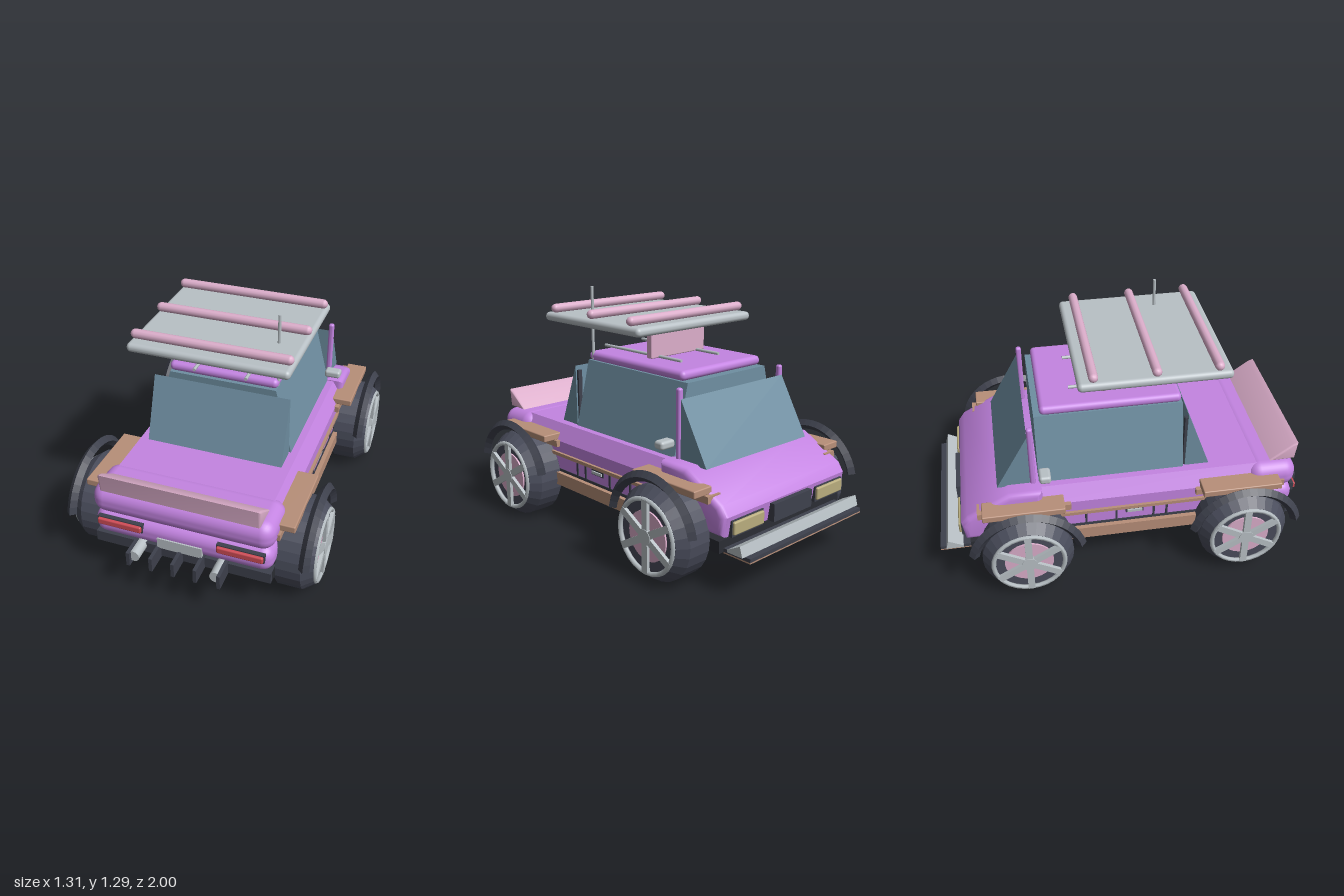
import * as THREE from 'three';
import { RoundedBoxGeometry } from 'three/addons/geometries/RoundedBoxGeometry.js';
import { toCreasedNormals } from 'three/addons/utils/BufferGeometryUtils.js';

const material = (name, color, extra = {}) => {
  const m = new THREE.MeshStandardMaterial({ color, ...extra });
  m.name = name;
  return m;
};

export function createModel() {
  const car = new THREE.Group();
  car.name = 'car';
  const purple = material('purple paint', 0xc484e2);
  const pink = material('pink trim', 0xdcaecb);
  const glass = material('blue glass', 0x6f8fa2);
  const silver = material('silver', 0xb9c1c6);
  const dark = material('dark trim', 0x3e414d, { side: THREE.DoubleSide, flatShading: true });
  const tyre = material('tyre rubber', 0x4a4d5c, { flatShading: true });
  const black = material('underside black', 0x2b2d34);
  const brown = material('brown trim', 0xb88f79);
  const red = material('tail light red', 0xd04c56);
  const tan = material('head light tan', 0xb9ad7e);

  const add = (name, geo, mat, x = 0, y = 0, z = 0, parent = car) => {
    const mesh = new THREE.Mesh(geo, mat);
    mesh.name = name;
    mesh.position.set(x, y, z);
    parent.add(mesh);
    return mesh;
  };
  // Box given by its limits, rounded when r > 0
  const box = (name, mat, [x0, x1], [y0, y1], [z0, z1], r = 0) => {
    const s = [x1 - x0, y1 - y0, z1 - z0];
    const geo = r ? new RoundedBoxGeometry(...s, 4, r) : new THREE.BoxGeometry(...s);
    return add(name, geo, mat, (x0 + x1) / 2, (y0 + y1) / 2, (z0 + z1) / 2);
  };
  // Side profile of [z, y] points, extruded across x with an optional bevel
  const across = (name, mat, pts, half, bevel = 0) => {
    const shape = new THREE.Shape(pts.map(([z, y]) => new THREE.Vector2(-z, y)));
    const geo = new THREE.ExtrudeGeometry(shape, {
      depth: 2 * (half - bevel), bevelEnabled: bevel > 0, bevelSize: bevel,
      bevelThickness: bevel, bevelOffset: -bevel, bevelSegments: 4,
    });
    geo.translate(0, 0, -(half - bevel)).rotateY(Math.PI / 2);
    return add(name, toCreasedNormals(geo, 0.7), mat);
  };
  // Front cross-section of [x, y] points, extruded along z
  const along = (name, mat, pts, z0, z1) => {
    const shape = new THREE.Shape(pts.map(([x, y]) => new THREE.Vector2(x, y)));
    const geo = new THREE.ExtrudeGeometry(shape, { depth: z1 - z0, bevelEnabled: false });
    return add(name, geo, mat, 0, 0, z0);
  };
  const mirror = (pts) => [...pts, ...pts.map(([x, y]) => [-x, y]).reverse()];

  // Body
  box('underside', black, [-0.46, 0.46], [0.19, 0.25], [-0.84, 0.87]);
  box('lowerBody', purple, [-0.455, 0.455], [0.25, 0.38], [-0.6, 0.65]);
  along('middleBody', purple, mirror([[0.46, 0.37], [0.46, 0.45], [0.41, 0.535]]), -0.6, 0.7);
  box('rearDeck', purple, [-0.47, 0.47], [0.38, 0.538], [0.64, 0.905], 0.07);
  box('rearBumper', purple, [-0.465, 0.465], [0.25, 0.39], [0.5, 0.9], 0.06);
  across('hood', purple, [[-0.45, 0.27], [-0.45, 0.54], [-0.62, 0.54], [-0.84, 0.42], [-0.875, 0.37], [-0.86, 0.27]], 0.465, 0.03);
  across('rearSpoiler', pink, [[0.76, 0.535], [0.9, 0.535], [0.91, 0.635], [0.88, 0.625]], 0.41, 0.012);

  // Cabin
  along('cabinGlass', glass, mirror([[0.375, 0.53], [0.285, 0.89]]), -0.46, 0.3);
  across('rearWindow', glass, [[0.31, 0.53], [0.44, 0.53], [0.315, 0.865]], 0.365);
  across('frontWindow', glass, [[-0.675, 0.53], [-0.505, 0.53], [-0.505, 0.835]], 0.375);
  box('roof', purple, [-0.29, 0.29], [0.89, 0.94], [-0.43, 0.295], 0.024);
  for (const s of [-1, 1]) {
    box('frontPillar', purple, [s * 0.37 - 0.015, s * 0.37 + 0.015], [0.53, 0.888], [-0.505, -0.475], 0.012);
    box('rearPillar', dark, [s * 0.345 - 0.012, s * 0.345 + 0.012], [0.53, 0.84], [0.3, 0.318]);
    const rail = new THREE.CylinderGeometry(0.009, 0.009, 0.6, 8).rotateX(Math.PI / 2);
    add('roofRail', rail, silver, s * 0.137, 0.946, 0.033);
    box('mirror', silver, [s * 0.41 - 0.045, s * 0.41 + 0.045], [0.585, 0.628], [-0.46, -0.4], 0.015);
  }

  // Roof wing
  box('wingSupport', pink, [-0.195, 0.195], [0.94, 1.1], [-0.107, -0.068], 0.006);
  box('wing', silver, [-0.412, 0.412], [1.093, 1.14], [-0.247, 0.518], 0.022);
  for (const z of [0.445, 0.138, -0.17]) {
    const rod = new THREE.CapsuleGeometry(0.024, 0.776, 4, 12).rotateZ(Math.PI / 2);
    add('wingRod', rod, pink, 0, 1.165, z);
  }
  add('antenna', new THREE.CylinderGeometry(0.008, 0.008, 0.39, 8), silver, 0.283, 1.095, 0.26);

  // Wheels with arches
  const profile = [[0, 0.415], [0.19, 0.415], [0.235, 0.46], [0.235, 0.585], [0.195, 0.64], [0.185, 0.64], [0.18, 0.625], [0, 0.625]];
  const tyreGeo = new THREE.LatheGeometry(profile.map((p) => new THREE.Vector2(...p)), 28).rotateZ(-Math.PI / 2);
  const disc = (r, x0, x1) => new THREE.CylinderGeometry(r, r, x1 - x0, 28).rotateZ(-Math.PI / 2).translate((x0 + x1) / 2, 0, 0);
  const rimGeo = new THREE.TorusGeometry(0.182, 0.012, 6, 28).rotateY(Math.PI / 2);
  const archGeo = new THREE.TorusGeometry(0.278, 0.027, 4, 20, Math.PI * 0.86)
    .rotateZ(Math.PI * 0.07).rotateY(Math.PI / 2);
  for (const s of [-1, 1]) {
    for (const z of [0.59, -0.548]) {
      const wheel = new THREE.Group();
      wheel.name = 'wheel';
      wheel.position.set(0, 0.236, z);
      wheel.rotation.y = s < 0 ? Math.PI : 0;
      car.add(wheel);
      add('tyre', tyreGeo, tyre, 0, 0, 0, wheel);
      add('brakeDisc', disc(0.125, 0.62, 0.634), pink, 0, 0, 0, wheel);
      add('hub', disc(0.04, 0.62, 0.655), silver, 0, 0, 0, wheel);
      add('rim', rimGeo, silver, 0.64, 0, 0, wheel);
      for (let i = 0; i < 3; i++) {
        const spoke = add('spoke', new THREE.BoxGeometry(0.018, 0.37, 0.036), silver, 0.643, 0, 0, wheel);
        spoke.rotation.x = (i * Math.PI) / 3;
      }
      add('wheelArch', archGeo, dark, s * 0.61, 0.24, z);
      const plateX = s * 0.487, innerX = s * 0.44;
      box('fender', brown, [plateX - 0.057, plateX + 0.057], [0.453, 0.49], [z - 0.215, z + 0.205], 0.006);
      box('innerFender', brown, [innerX - 0.042, innerX + 0.042], [0.42, 0.455], [z - 0.24, z + 0.24]);
    }

    // Sills, door seams and handles
    const side = (name, mat, x, dx, y, z) => box(name, mat, [s * x - dx, s * x + dx], y, z);
    side('sill', brown, 0.455, 0.028, [0.205, 0.275], [-0.6, 0.64]);
    side('sideTrim', brown, 0.455, 0.02, [0.37, 0.388], [-0.6, 0.64]);
    side('sillGap', dark, 0.45, 0.009, [0.275, 0.29], [-0.35, 0.4]);
    for (const z of [0.2, 0.13, -0.07, -0.23]) side('doorSeam', dark, 0.456, 0.004, [0.285, 0.37], [z - 0.006, z + 0.006]);
    side('handleFrame', dark, 0.457, 0.004, [0.333, 0.362], [-0.02, 0.075]);
    side('handle', silver, 0.463, 0.006, [0.34, 0.355], [-0.012, 0.067]);

    // Lights and exhausts
    const lamp = s * 0.312;
    box('tailLightFrame', dark, [lamp - 0.12, lamp + 0.12], [0.33, 0.377], [0.885, 0.908]);
    box('tailLight', red, [lamp - 0.116, lamp + 0.116], [0.336, 0.372], [0.89, 0.922], 0.008);
    box('headLightFrame', dark, [s * 0.31 - 0.11, s * 0.31 + 0.11], [0.27, 0.35], [-0.88, -0.85]);
    box('headLight', tan, [s * 0.31 - 0.105, s * 0.31 + 0.105], [0.28, 0.345], [-0.893, -0.86], 0.008);
    const pipe = new THREE.CylinderGeometry(0.03, 0.03, 0.14, 16).rotateX(Math.PI / 2);
    add('exhaust', pipe, silver, s * 0.213, 0.238, 0.91);
  }

  // Rear diffuser and plate
  box('diffuserBar', dark, [-0.46, 0.46], [0.195, 0.255], [0.8, 0.89]);
  for (const x of [-0.235, -0.115, 0, 0.115, 0.235]) {
    box('diffuserFin', dark, [x - 0.009, x + 0.009], [0.19, 0.268], [0.84, 1]);
  }
  box('rearPlate', silver, [-0.117, 0.117], [0.263, 0.322], [0.89, 0.908]);

  // Front grille, splitter and its slanted blade
  box('grille', dark, [-0.145, 0.145], [0.27, 0.36], [-0.9, -0.85]);
  box('splitter', dark, [-0.43, 0.43], [0.192, 0.21], [-1, -0.82]);
  box('splitterBase', brown, [-0.43, 0.43], [0.185, 0.192], [-1, -0.84]);
  across('bumperBlade', silver, [[-0.97, 0.21], [-0.88, 0.21], [-0.88, 0.222], [-0.955, 0.262]], 0.45);

  return car;
}
